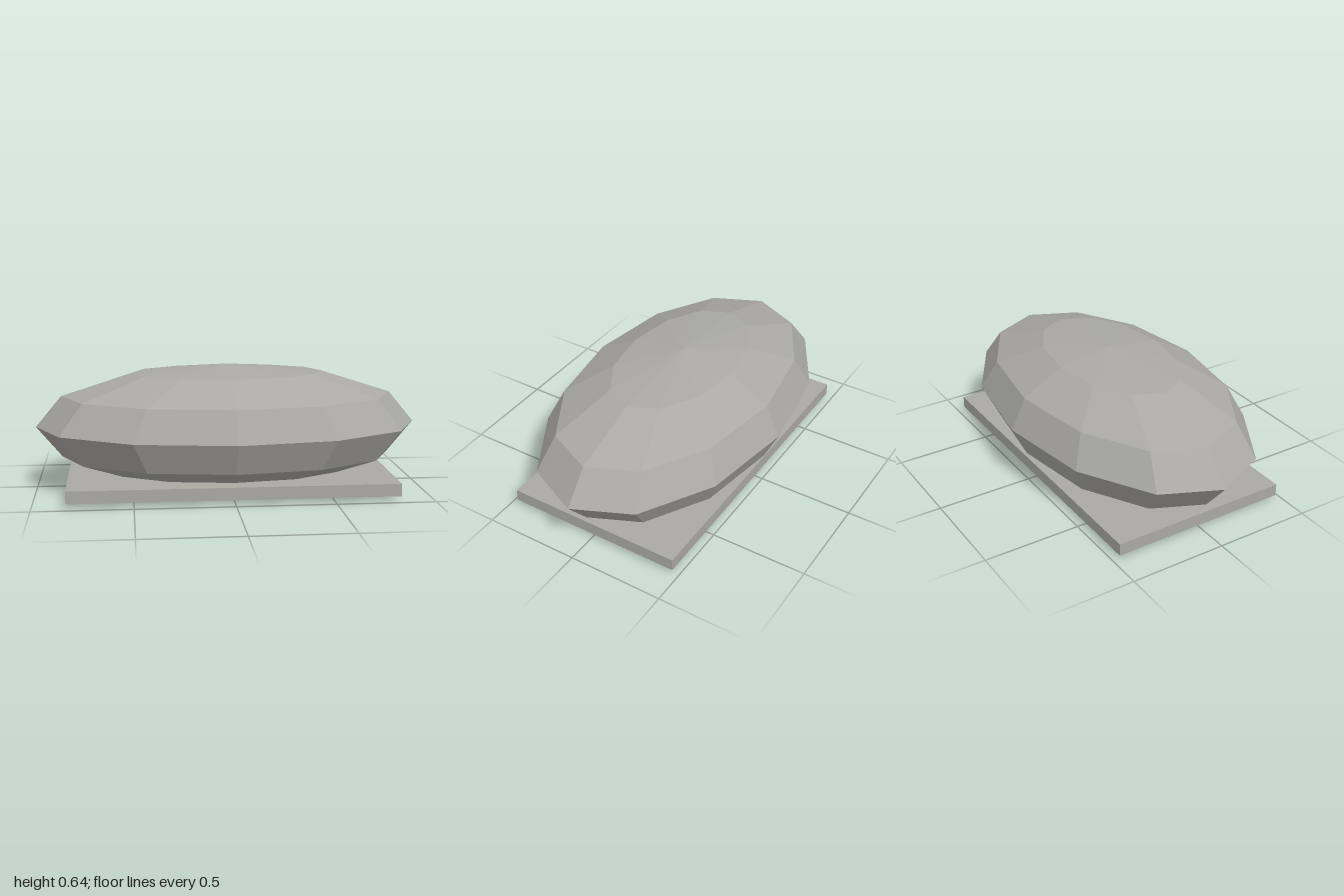
import * as THREE from 'three';

export function createModel() {
  const model = new THREE.Group();
  const stone = new THREE.MeshStandardMaterial({ color: 0xaaa9a4, flatShading: true });
  stone.name = 'stone grey';

  // Faceted, flattened boulder
  const boulderShape = new THREE.SphereGeometry(1, 12, 6);
  boulderShape.scale(1, 0.32, 0.58);
  const boulder = new THREE.Mesh(boulderShape, stone);
  boulder.name = 'boulder';
  boulder.position.y = 0.32;
  model.add(boulder);

  // Thin slab that the boulder pokes through
  const slab = new THREE.Mesh(new THREE.BoxGeometry(1.664, 0.064, 0.936), stone);
  slab.name = 'baseSlab';
  slab.position.y = 0.056;
  model.add(slab);

  return model;
}
